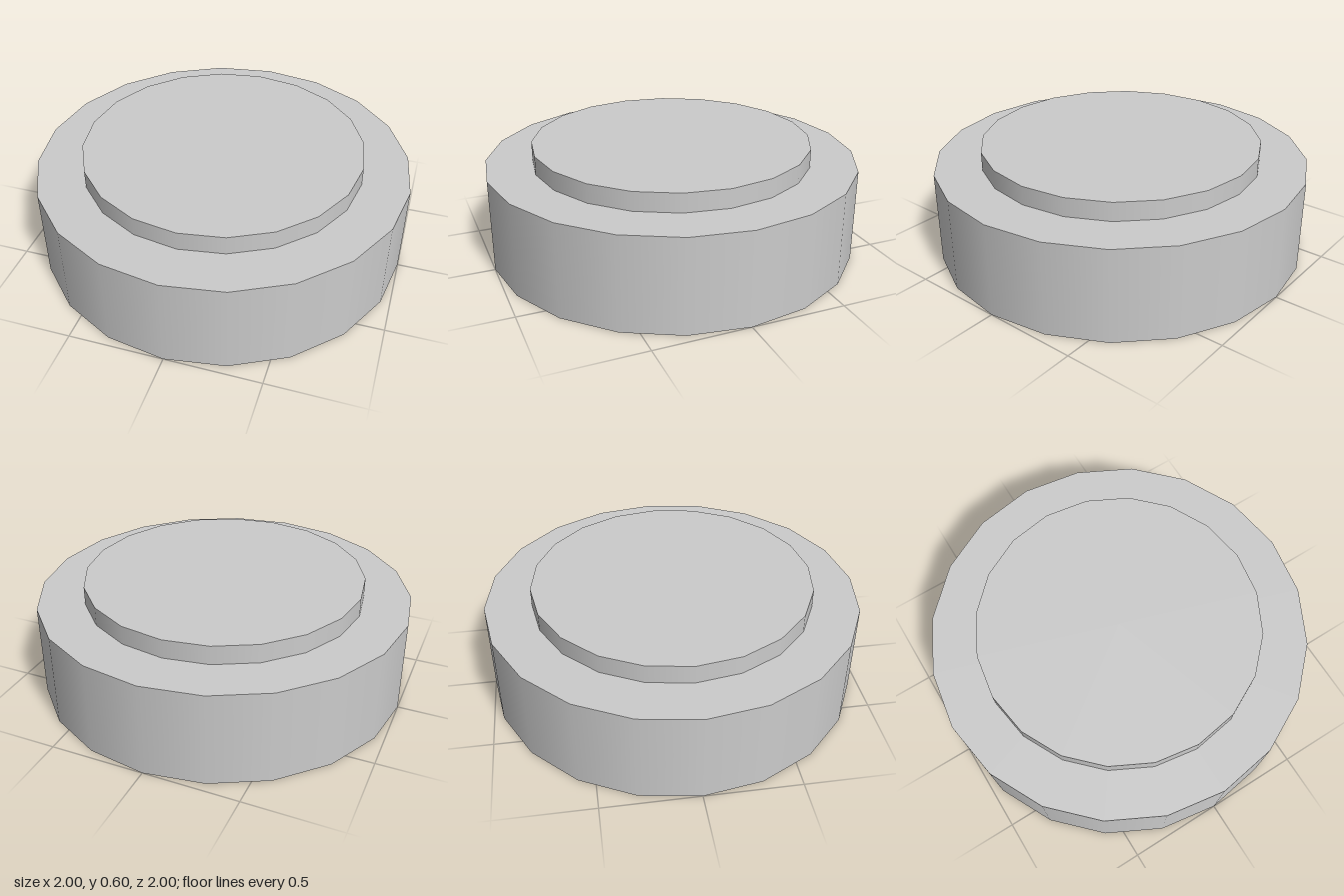
import * as THREE from 'three';

const SIDES = 20;

export function createModel() {
  const group = new THREE.Group();
  const material = new THREE.MeshStandardMaterial({ color: 0xcccccc });

  // Upright smooth-sided disc standing on height y
  function addDisc(name, radius, height, y) {
    const geometry = new THREE.CylinderGeometry(radius, radius, height, SIDES);
    const mesh = new THREE.Mesh(geometry, material);
    mesh.name = name;
    mesh.position.y = y + height / 2;
    group.add(mesh);
  }

  // Wide base with a shallow raised cap on top
  addDisc('base', 1, 0.5, 0);
  addDisc('cap', 0.75, 0.1, 0.5);

  return group;
}
